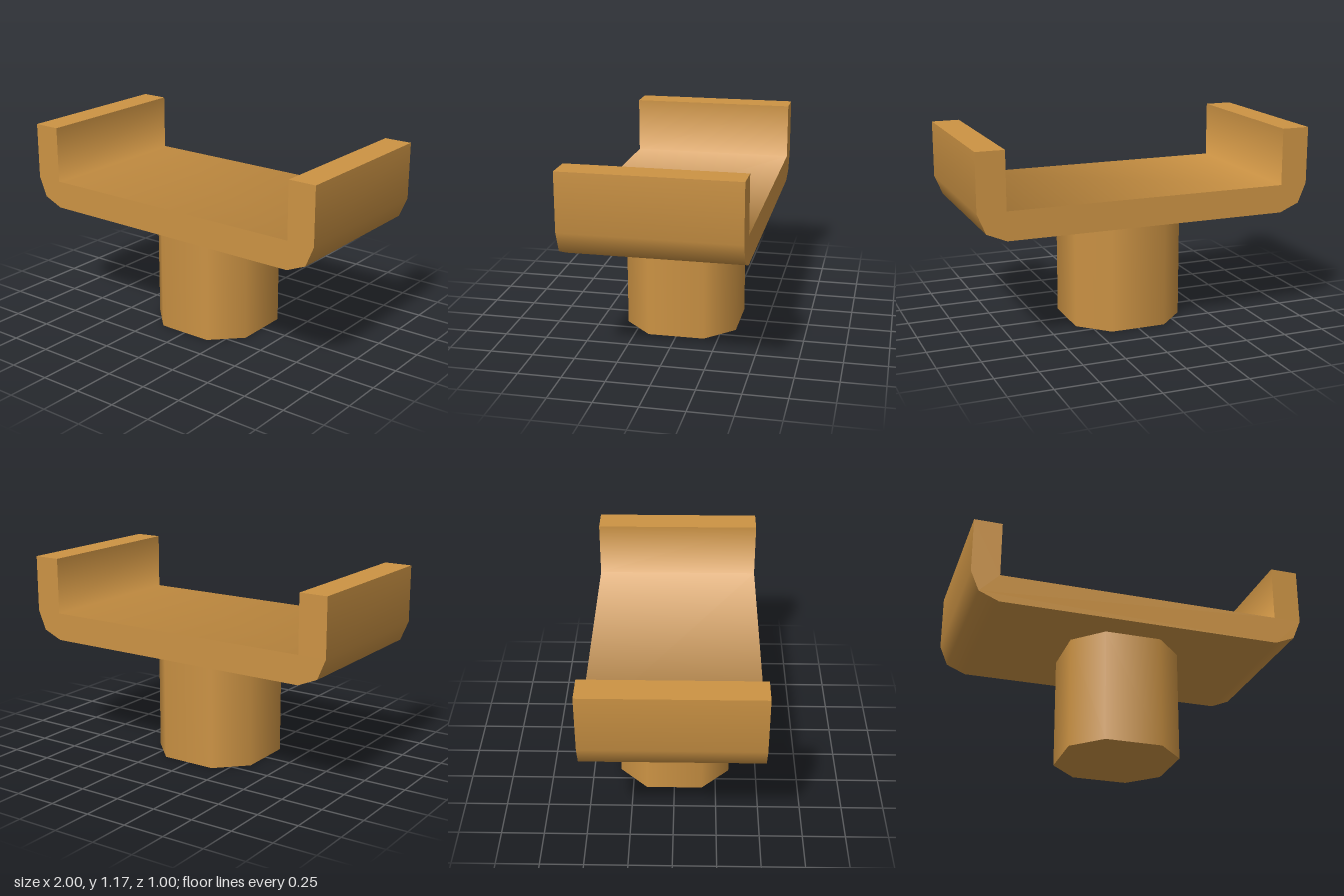
import * as THREE from 'three';
import { mergeGeometries } from 'three/addons/utils/BufferGeometryUtils.js';

// Sweep an open or closed 2D path along z, smooth along the path; outside is to the right of travel.
function ribbon(points, z0, z1, closed = false) {
  const n = points.length;
  const segments = closed ? n : n - 1;
  const sides = [];
  for (let i = 0; i < segments; i++) {
    const [ax, ay] = points[i];
    const [bx, by] = points[(i + 1) % n];
    sides.push(new THREE.Vector2(by - ay, ax - bx).normalize());
  }
  const position = [], normal = [], uv = [], index = [];
  for (let i = 0; i <= segments; i++) {
    const [x, y] = points[i % n];
    const before = sides[i - 1] ?? (closed ? sides[segments - 1] : sides[0]);
    const after = sides[i] ?? (closed ? sides[0] : sides[segments - 1]);
    const m = before.clone().add(after).normalize();
    for (const z of [z0, z1]) {
      position.push(x, y, z);
      normal.push(m.x, m.y, 0);
      uv.push(i / segments, z === z0 ? 0 : 1);
    }
    if (i < segments) {
      const a = i * 2;
      index.push(a, a + 2, a + 1, a + 2, a + 3, a + 1);
    }
  }
  const g = new THREE.BufferGeometry();
  g.setAttribute('position', new THREE.Float32BufferAttribute(position, 3));
  g.setAttribute('normal', new THREE.Float32BufferAttribute(normal, 3));
  g.setAttribute('uv', new THREE.Float32BufferAttribute(uv, 2));
  g.setIndex(index);
  return g;
}

// Flat end of a left-right symmetric outline
function cap(points, z, back = false) {
  const g = new THREE.ShapeGeometry(new THREE.Shape(points.map(([x, y]) => new THREE.Vector2(x, y))));
  if (back) g.rotateY(Math.PI);
  return g.translate(0, 0, z);
}

export function createModel() {
  const model = new THREE.Group();
  model.name = 'bracket';
  const ochre = new THREE.MeshStandardMaterial({ color: 0xcc9344 });
  ochre.name = 'ochre';

  // U-shaped cradle: rounded outer skin, inner channel and flat arm tops
  const top = 1.167, floor = 0.833, base = 0.667, inner = 0.835, depth = 0.5;
  const outside = [
    [-1, top], [-1, floor], [-0.951, 0.716], [-inner, base],
    [inner, base], [0.951, 0.716], [1, floor], [1, top],
  ];
  const channel = [[inner, top], [inner, floor], [-inner, floor], [-inner, top]];
  const outline = [...outside, ...channel];
  const cradle = new THREE.Mesh(mergeGeometries([
    ribbon(outside, -depth, depth),
    ribbon(channel, -depth, depth),
    ribbon([[1, top], [inner, top]], -depth, depth),
    ribbon([[-inner, top], [-1, top]], -depth, depth),
    cap(outline, depth),
    cap(outline, -depth, true),
  ]), ochre);
  cradle.name = 'cradle';

  // Post: a square with chamfered corners, standing upright
  const r = 0.333, c = 0.167;
  const octagon = [[r, -c], [r, c], [c, r], [-c, r], [-r, c], [-r, -c], [-c, -r], [c, -r]];
  const post = new THREE.Mesh(mergeGeometries([
    ribbon(octagon, 0, base, true),
    cap(octagon, 0, true),
  ]).rotateX(-Math.PI / 2), ochre);
  post.name = 'post';

  model.add(cradle, post);
  return model;
}
